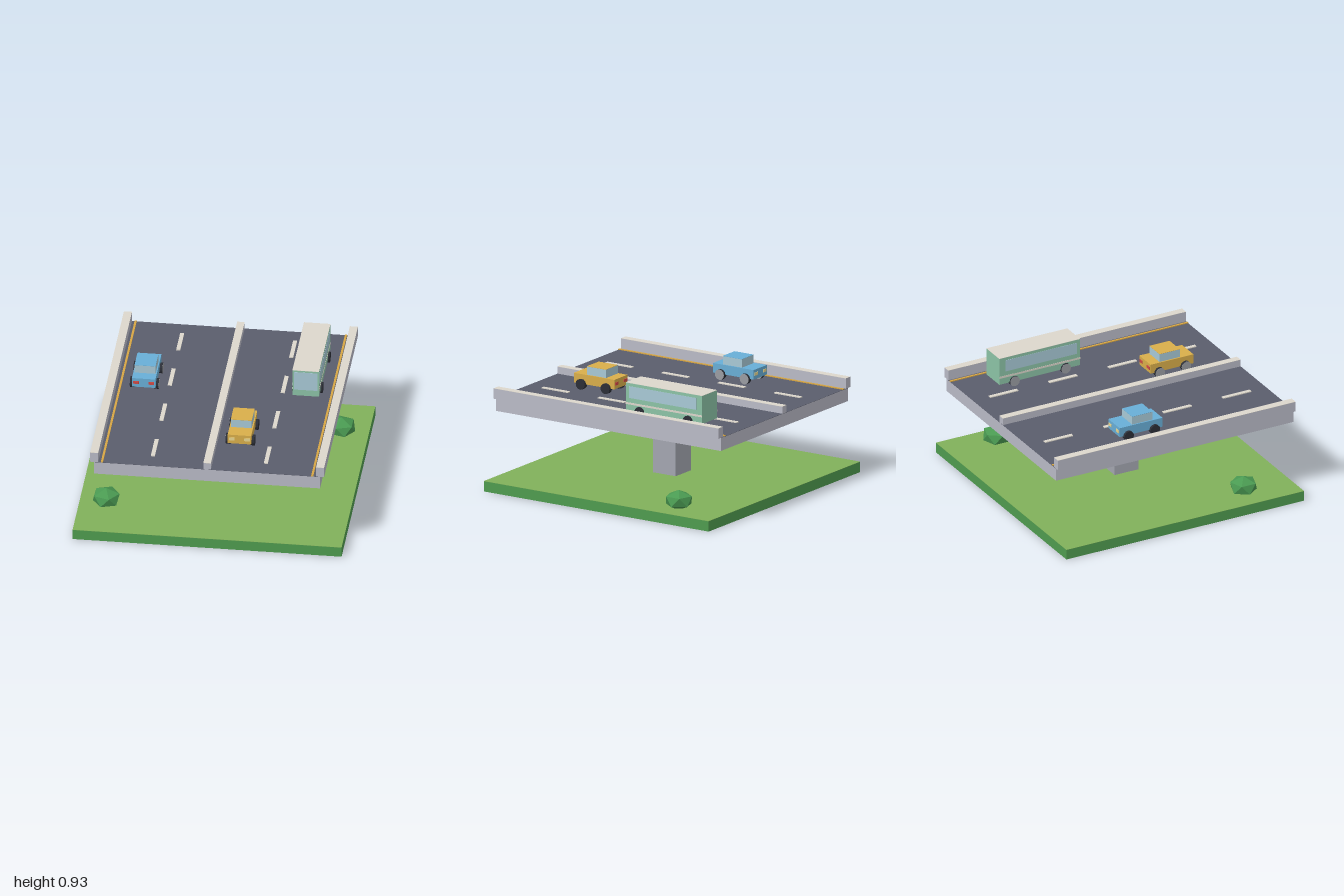
import * as THREE from 'three';

const C = {
  grass: 0x80b05a, soil: 0x4f9b4f, bush: 0x4a9a52, concrete: 0xb9bac6, pier: 0xa3a6b0,
  asphalt: 0x5a5d6c, cream: 0xdcd7cc, line: 0xd6a645, blue: 0x68aed6, yellow: 0xd9ae4a,
  glass: 0xa8c9d6, bus: 0x8cc3a6, tyre: 0x2b2e36, hub: 0x9a9ca2, red: 0xd04a45, lamp: 0xe8d690,
};
const mats = {};
const mat = (c) => (mats[c] ??= new THREE.MeshStandardMaterial({ color: c, flatShading: true }));

function add(parent, name, geo, color, x = 0, y = 0, z = 0) {
  const m = new THREE.Mesh(geo, mat(color));
  m.name = name;
  m.position.set(x, y, z);
  parent.add(m);
  return m;
}

// Box given by centre x/z, bottom and top height, width and depth
function box(parent, name, color, x, y0, y1, z, w, d) {
  return add(parent, name, new THREE.BoxGeometry(w, y1 - y0, d), color, x, (y0 + y1) / 2, z);
}

// Box whose upper face is a thin skin of another colour
function cappedBox(parent, name, color, topColor, x, y0, y1, z, w, d) {
  const skin = 0.002;
  box(parent, name, color, x, y0, y1 - skin, z, w, d);
  box(parent, name + 'Top', topColor, x, y1 - skin, y1, z, w, d);
}

// Four wheels, each with a hub face on its right side
function wheels(parent, halfTrack, halfBase) {
  const r = 0.04, w = 0.035;
  for (const sx of [-1, 1]) for (const sz of [-1, 1]) {
    const tyre = add(parent, 'wheel', new THREE.CylinderGeometry(r, r, w, 12), C.tyre, sx * halfTrack, r, sz * halfBase);
    tyre.rotation.z = Math.PI / 2;
    add(tyre, 'hub', new THREE.CylinderGeometry(r, r, 0.002, 12), C.hub, 0, w / 2, 0);
  }
}

// Small car facing +z, wheels resting on y = 0
function car(name, color) {
  const g = new THREE.Group();
  g.name = name;
  box(g, 'carBody', color, 0, 0.042, 0.115, 0, 0.175, 0.36);
  cappedBox(g, 'cabin', C.glass, color, 0, 0.115, 0.18, -0.015, 0.156, 0.17);
  for (const s of [-1, 1]) {
    box(g, 'headlight', C.lamp, s * 0.057, 0.07, 0.092, 0.18, 0.042, 0.01);
    box(g, 'tailLight', C.red, s * 0.057, 0.07, 0.092, -0.18, 0.042, 0.01);
  }
  wheels(g, 0.09, 0.11);
  return g;
}

// Bus facing +z
function makeBus() {
  const g = new THREE.Group();
  g.name = 'bus';
  cappedBox(g, 'busBody', C.bus, C.cream, 0, 0.035, 0.25, 0, 0.198, 0.68);
  box(g, 'windscreen', C.glass, 0, 0.085, 0.235, 0.34, 0.175, 0.004);
  for (const s of [-1, 1]) {
    box(g, 'sideWindow', C.glass, s * 0.099, 0.135, 0.225, 0.012, 0.004, 0.6);
    box(g, 'sideStripe', C.cream, s * 0.099, 0.085, 0.1, 0, 0.003, 0.68);
  }
  wheels(g, 0.095, 0.215);
  return g;
}

export function createModel() {
  const model = new THREE.Group();
  model.name = 'overpass';
  const road = 0.68;

  // Ground
  cappedBox(model, 'ground', C.soil, C.grass, 0, 0, 0.08, 0, 2, 2);

  // Flattened bushes, one vertex pointing up, partly sunk in the grass
  for (const s of [-1, 1]) {
    const geo = new THREE.IcosahedronGeometry(0.112, 0);
    geo.rotateZ(Math.atan2(1, (1 + Math.sqrt(5)) / 2));
    geo.scale(1, 0.68, 1);
    if (s < 0) geo.rotateY(Math.PI);
    add(model, 'bush', geo, C.bush, s * 0.8, 0.136, -s * 0.6);
  }

  // Pier and crosshead
  box(model, 'pierColumn', C.pier, 0, 0.08, 0.5, 0, 0.2, 0.2);
  box(model, 'crosshead', C.pier, 0, 0.5, 0.58, 0, 1.2, 0.2);

  // Deck, parapets and median
  cappedBox(model, 'deck', C.concrete, C.asphalt, 0, 0.58, road, 0, 1.68, 2);
  for (const s of [-1, 1]) {
    cappedBox(model, 'parapet', C.concrete, C.cream, s * 0.84, road, 0.76, 0, 0.06, 2);
    box(model, 'edgeLine', C.line, s * 0.782, road, 0.687, 0, 0.016, 2);
    for (let i = 0; i < 4; i++) {
      box(model, 'laneDash', C.cream, s * 0.42, road, 0.687, -0.75 + i * 0.5, 0.03, 0.235);
    }
  }
  cappedBox(model, 'median', C.concrete, C.cream, 0, road, 0.735, 0, 0.056, 2);

  // Traffic
  const blueCar = car('blueCar', C.blue);
  blueCar.position.set(-0.6, road, -0.2);
  blueCar.rotation.y = Math.PI;
  const yellowCar = car('yellowCar', C.yellow);
  yellowCar.position.set(0.2, road, 0.5);
  const bus = makeBus();
  bus.position.set(0.6, road, -0.4);
  model.add(blueCar, yellowCar, bus);

  return model;
}
